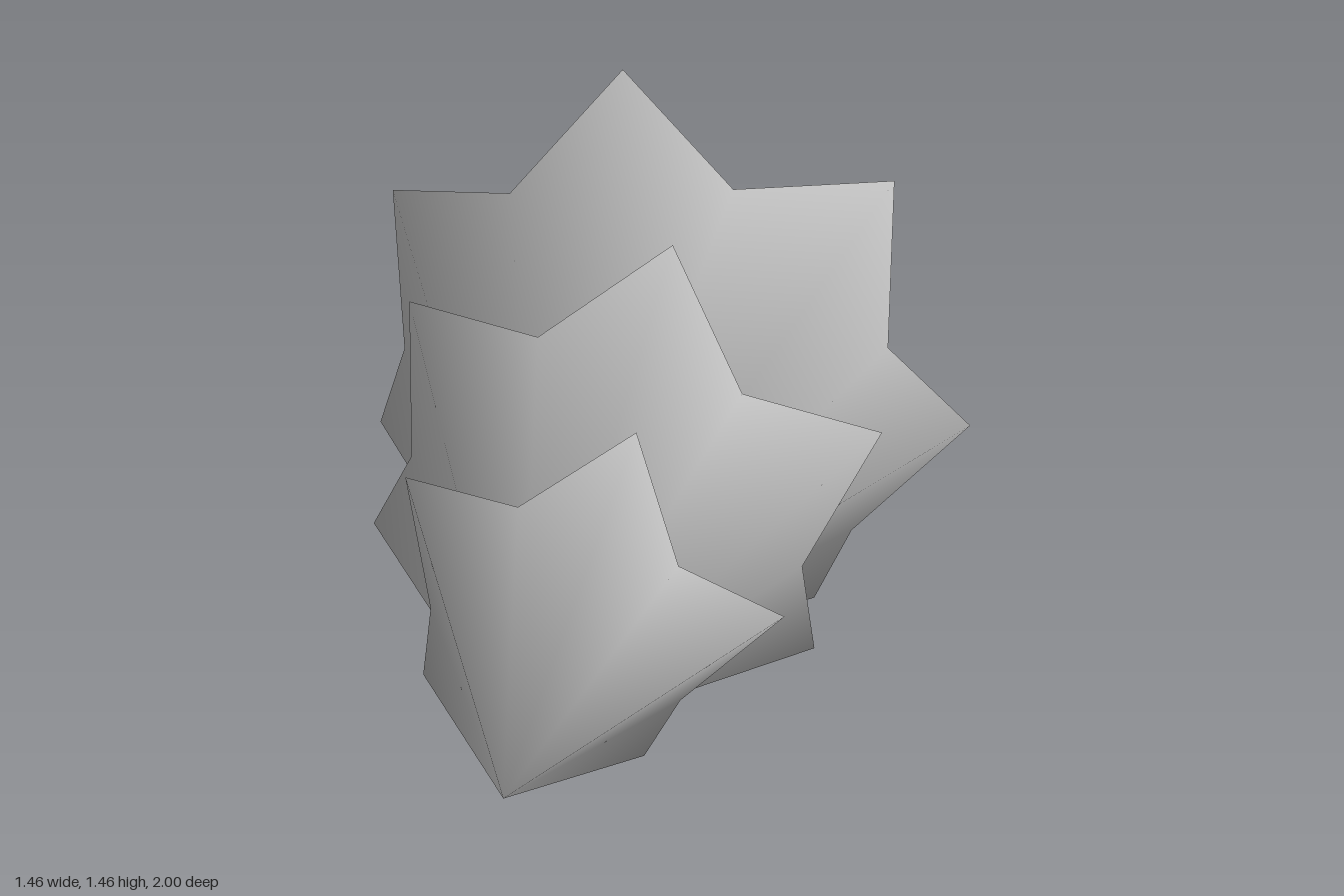
import * as THREE from 'three';

const rad = THREE.MathUtils.degToRad;

// Closed star-shaped cone pointing to +z, with a hollowed underside and soft rim normals
function starCone({ points, start, tip, tipZ, centre, spikeR, spikeZ, valleyR, valleyZ, hollowZ }) {
  const pos = [], nor = [], index = [];
  const n = points * 2;
  for (let i = 0; i < n; i++) {
    const a = rad(start + (i * 360) / n);
    const spike = i % 2 === 0;
    const r = spike ? spikeR : valleyR;
    pos.push(centre[0] + r * Math.cos(a), centre[1] + r * Math.sin(a), spike ? spikeZ : valleyZ);
    nor.push(0.835 * Math.cos(a), 0.835 * Math.sin(a), -0.55);
  }
  pos.push(tip[0], tip[1], tipZ, centre[0], centre[1], hollowZ);
  nor.push(0, 0, 1, 0, 0, -1);
  for (let i = 0; i < n; i++) {
    const j = (i + 1) % n;
    index.push(n, i, j, n + 1, j, i);
  }
  const g = new THREE.BufferGeometry();
  g.setAttribute('position', new THREE.Float32BufferAttribute(pos, 3));
  g.setAttribute('normal', new THREE.Float32BufferAttribute(nor, 3));
  g.setIndex(index);
  return g;
}

export function createModel() {
  const group = new THREE.Group();
  group.name = 'tree';
  const grey = new THREE.MeshStandardMaterial({ color: 0xcccccc });
  grey.name = 'grey';

  const add = (name, geometry) => {
    const mesh = new THREE.Mesh(geometry, grey);
    mesh.name = name;
    group.add(mesh);
    return mesh;
  };

  // Three tiers of foliage, from the tip backwards
  add('topTier', starCone({
    points: 5, start: 1.5, tip: [0, 0.73], tipZ: 1, centre: [-0.005, 0.727],
    spikeR: 0.428, spikeZ: 0.36, valleyR: 0.285, valleyZ: 0.455, hollowZ: 0.55,
  }));
  add('middleTier', starCone({
    points: 6, start: 19, tip: [-0.005, 0.727], tipZ: 0.85, centre: [-0.013, 0.722],
    spikeR: 0.605, spikeZ: -0.085, valleyR: 0.44, valleyZ: 0.04, hollowZ: 0.17,
  }));
  add('bottomTier', starCone({
    points: 7, start: -6, tip: [-0.01, 0.724], tipZ: 0.65, centre: [-0.02, 0.717],
    spikeR: 0.752, spikeZ: -0.605, valleyR: 0.587, valleyZ: -0.45, hollowZ: -0.25,
  }));

  // Four-sided trunk, flaring toward its foot
  const trunk = new THREE.CylinderGeometry(0.1, 0.235, 0.9, 4, 1, false, rad(33.7));
  trunk.rotateX(Math.PI / 2);
  add('trunk', trunk).position.set(-0.022, 0.715, -0.55);

  return group;
}
